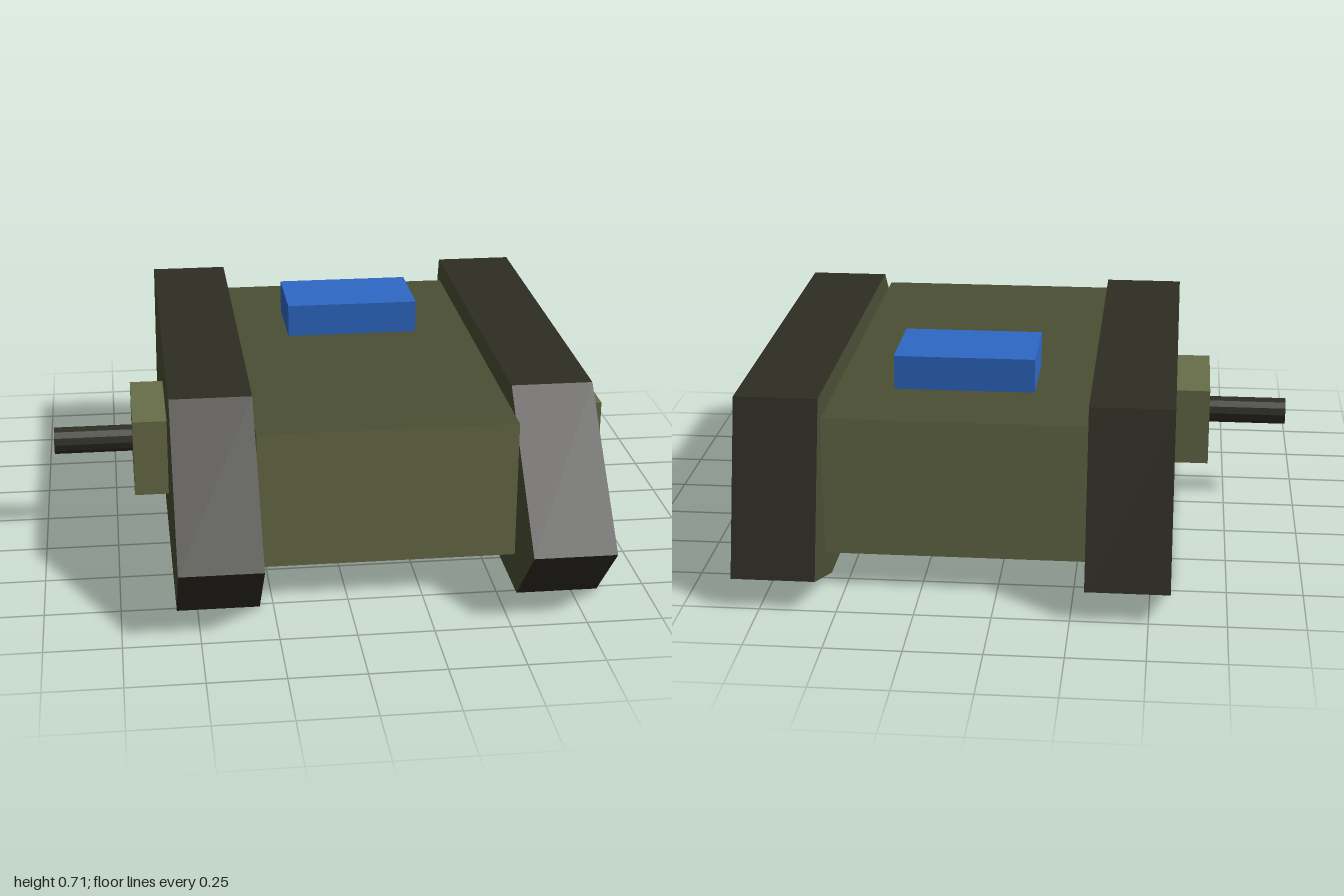
import * as THREE from 'three';

const material = (name, color) => {
  const m = new THREE.MeshStandardMaterial({ color });
  m.name = name;
  return m;
};

export function createModel() {
  const model = new THREE.Group();
  model.name = 'trackedVehicle';

  const lightOlive = material('lightOlive', 0x686d48);
  const darkOlive = material('darkOlive', 0x4b4f34);
  const tread = material('treadBlack', 0x2e2d24);
  const blue = material('blue', 0x2e68c6);

  const add = (name, geometry, mat, x, y, z) => {
    const mesh = new THREE.Mesh(geometry, mat);
    mesh.name = name;
    mesh.position.set(x, y, z);
    model.add(mesh);
    return mesh;
  };

  const centreX = 0.135; // the body sits off centre to balance the side gun
  const trackWidth = 0.273;

  // Hull: light walls, darker deck and belly
  add('hull', new THREE.BoxGeometry(0.86, 0.47, 1.53),
    [lightOlive, lightOlive, darkOlive, darkOlive, lightOlive, lightOlive],
    centreX, 0.355, -0.045);

  // Roof hatch
  add('roofHatch', new THREE.BoxGeometry(0.47, 0.115, 0.296), blue, centreX, 0.648, -0.363);

  // Track outline as (z, y), pointed at the front
  const outline = [[1, 0.238], [0.57, 0.667], [-0.84, 0.667], [-1, 0.103], [-0.71, 0], [0.768, 0]];
  const shape = new THREE.Shape(outline.map(([z, y]) => new THREE.Vector2(z, y)));
  const trackGeometry = new THREE.ExtrudeGeometry(shape, { depth: trackWidth, bevelEnabled: false });
  trackGeometry.translate(0, 0, -trackWidth / 2);
  trackGeometry.rotateY(-Math.PI / 2);

  // Tracks and side sponsons, mirrored about the hull
  for (const [side, s] of [['left', 1], ['right', -1]]) {
    add(side + 'Track', trackGeometry, [darkOlive, tread], centreX + s * 0.567, 0, 0);
    add(side + 'Sponson', new THREE.BoxGeometry(0.118, 0.272, 0.39), lightOlive,
      centreX + s * 0.762, 0.336, 0.078);
  }

  // Gun barrel on the right sponson
  const barrel = new THREE.CylinderGeometry(0.047, 0.047, 0.275, 12);
  barrel.rotateZ(Math.PI / 2);
  const gun = add('gunBarrel', barrel.toNonIndexed(), tread, -0.822, 0.336, 0.076);
  gun.geometry.computeVertexNormals();

  return model;
}
